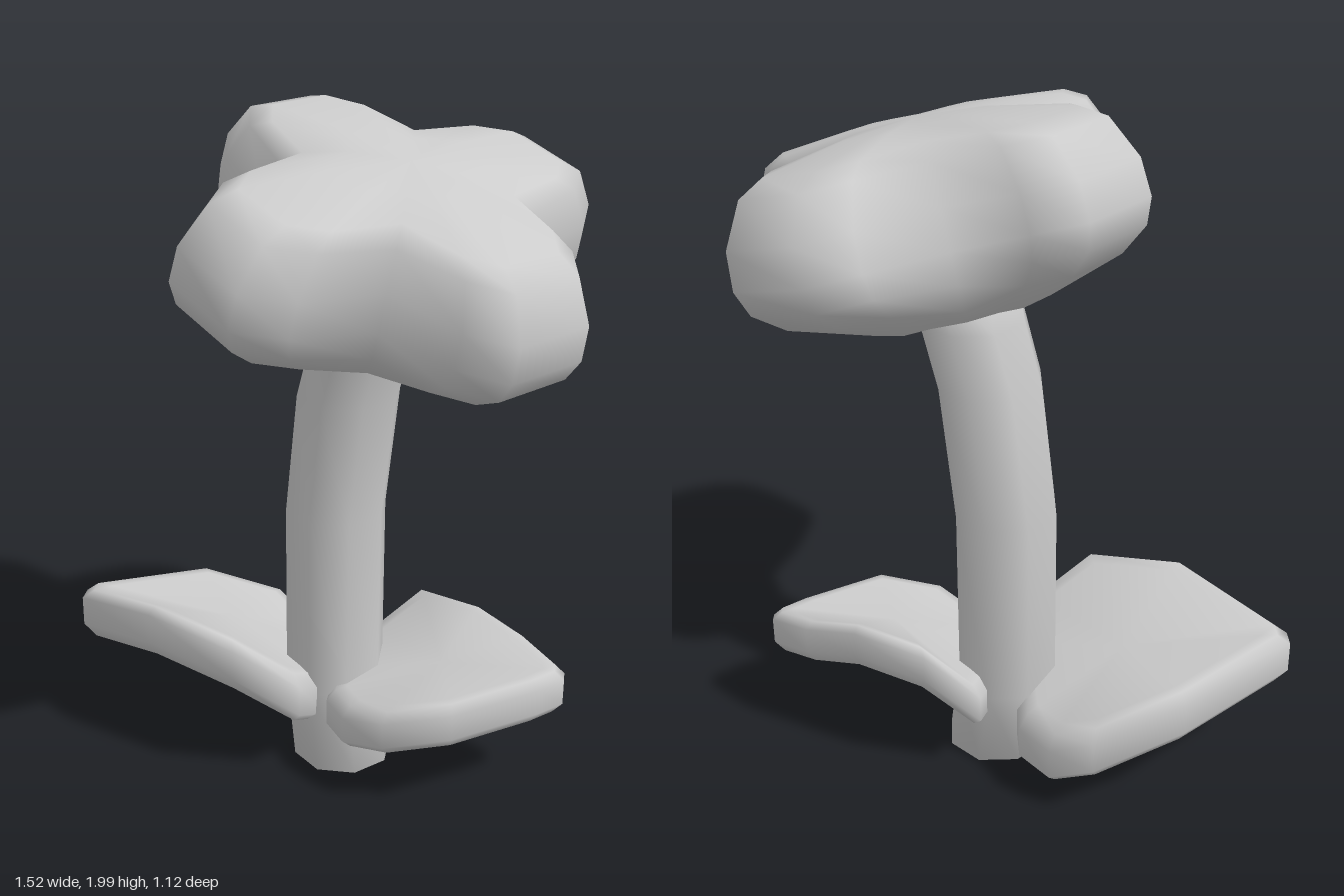
import * as THREE from 'three';

const material = new THREE.MeshStandardMaterial({ color: 0xcccccc });
const V = (x, y, z) => new THREE.Vector3(x, y, z);

// Closed smooth solid through rings listed top to bottom, each counterclockwise seen from above.
function loft(name, rings, topCentre, bottomCentre) {
  const n = rings[0].length;
  const points = [...rings.flat(), topCentre, bottomCentre];
  const top = points.length - 2, bottom = points.length - 1;
  const index = [];
  for (let j = 0; j < n; j++) {
    const k = (j + 1) % n;
    for (let i = 0; i < rings.length - 1; i++) {
      const a = i * n + j, b = a + n, c = (i + 1) * n + k, d = i * n + k;
      index.push(a, b, c, a, c, d);
    }
    const last = (rings.length - 1) * n;
    index.push(top, j, k, bottom, last + k, last + j);
  }
  const geometry = new THREE.BufferGeometry().setFromPoints(points);
  geometry.setIndex(index);
  geometry.computeVertexNormals();
  const mesh = new THREE.Mesh(geometry, material);
  mesh.name = name;
  return mesh;
}

// Leaf slab with a rounded rim around a bent outline.
function leaf(name, outline, half) {
  const pts = outline.map((p) => V(...p));
  const centre = pts.reduce((s, p) => s.add(p), V(0, 0, 0)).divideScalar(pts.length);
  const profile = [[1, 0.82], [0.96, 0.92], [0.55, 1], [-0.55, 1], [-0.96, 0.92], [-1, 0.82]];
  const rings = profile.map(([h, s]) =>
    pts.map((p) => centre.clone().lerp(p, s).add(V(0, h * half, 0))));
  return loft(name, rings, centre.clone().add(V(0, half, 0)), centre.clone().add(V(0, -half, 0)));
}

// Four-petal head: blunt petals joined at notches, domed above and bowl-shaped below.
function flowerHead() {
  const petal = [[0.52, -0.215], [0.64, -0.125], [0.64, 0.125], [0.52, 0.215]];
  // height at petals, petal scale, notch radius, height at notches
  const profile = [
    [0.265, 0.38, 0.16, 0.265], [0.235, 0.76, 0.28, 0.235], [0.2, 0.88, 0.33, 0.19], [0.09, 0.985, 0.36, 0.08],
    [-0.01, 1, 0.37, -0.03], [-0.08, 0.955, 0.35, -0.12], [-0.145, 0.82, 0.29, -0.2], [-0.235, 0.45, 0.16, -0.255],
  ];
  const rings = profile.map(([y, s, notch, notchY]) => {
    const ring = [];
    for (let i = 0; i < 4; i++) {
      const a = THREE.MathUtils.degToRad(49 + 90 * i);
      // the two petals along the tilt are a little shorter
      const length = i % 2 ? 0.94 : 0.99;
      for (const [pu, pv] of petal) {
        const u = s * length * pu, v = s * pv;
        ring.push(V(u * Math.cos(a) - v * Math.sin(a), y, -u * Math.sin(a) - v * Math.cos(a)));
      }
      const b = a + Math.PI / 4;
      ring.push(V(notch * Math.cos(b), notchY, -notch * Math.sin(b)));
    }
    return ring;
  });
  const head = loft('flowerHead', rings, V(0, 0.275, 0), V(0, -0.27, 0));
  head.quaternion.setFromUnitVectors(V(0, 1, 0), V(0.21, 1, 0.2).normalize());
  head.position.set(0.22, 1.635, -0.01);
  return head;
}

// Bent eight-sided stem, cut flat at the ground.
function stem() {
  const path = [
    [0.17, 1.52, -0.05], [0.145, 1.38, -0.07], [0.1, 1.2, -0.1],
    [0.06, 0.82, -0.14], [0.06, 0.25, -0.14], [0.09, 0, -0.11],
  ];
  const rings = path.map(([x, y, z]) => Array.from({ length: 8 }, (_, j) => {
    const a = (j + 0.5) * Math.PI / 4, r = 0.152;
    return V(x + r * Math.cos(a), y, z - r * Math.sin(a));
  }));
  return loft('stem', rings, V(...path[0]), V(...path[5]));
}

export function createModel() {
  const group = new THREE.Group();
  group.name = 'flower';
  group.add(stem(), flowerHead());
  // Broad leaf, raised along its front edge
  group.add(leaf('rightLeaf', [
    [-0.76, 0.36, -0.255], [-0.76, 0.36, -0.2], [-0.48, 0.45, 0.035], [-0.2, 0.415, 0.15],
    [-0.01, 0.28, 0.1], [0.045, 0.2, -0.05], [0.03, 0.145, -0.35],
    [-0.05, 0.16, -0.47], [-0.17, 0.235, -0.54], [-0.43, 0.325, -0.49],
  ], 0.085));
  // Smaller leaf, raised along its back edge
  group.add(leaf('leftLeaf', [
    [0.06, 0.21, -0.1], [0.06, 0.21, 0.03], [0.12, 0.21, 0.12], [0.25, 0.26, 0.215], [0.45, 0.31, 0.215],
    [0.69, 0.325, 0.06], [0.76, 0.33, 0], [0.76, 0.335, -0.035], [0.65, 0.37, -0.14],
    [0.5, 0.415, -0.23], [0.3, 0.405, -0.34], [0.14, 0.25, -0.33],
  ], 0.072));
  return group;
}
